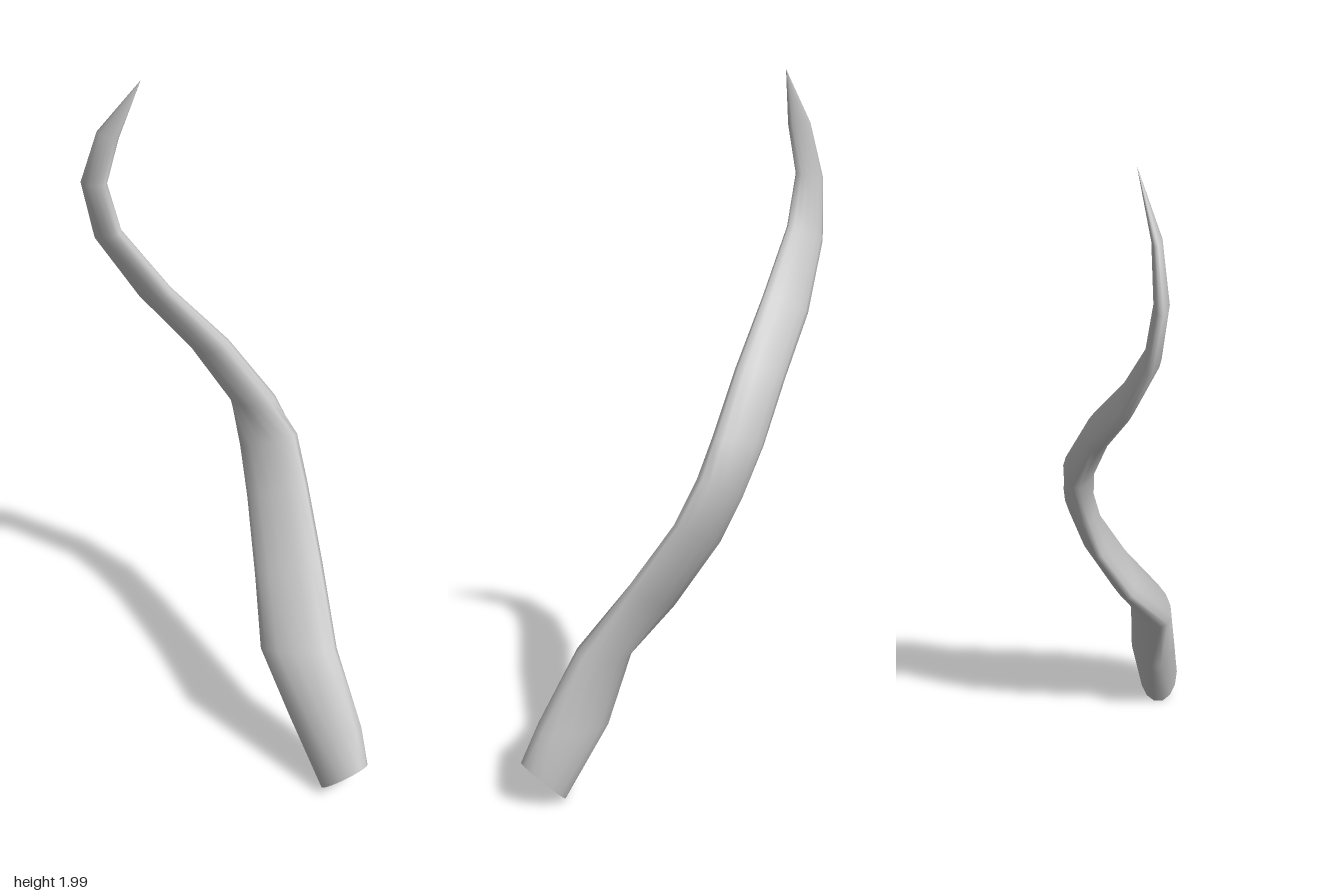
import * as THREE from 'three';

const SIDES = 14;

// Cross-sections from base to tip: centre, half-depth vector, half-width
const RINGS = [
  { c: [-0.108, 0.07, 0.415], u: [0, 0.064, 0.065], w: 0.056 },
  { c: [-0.09, 0.23, 0.328], u: [0.01, 0.008, 0.115], w: 0.063 },
  { c: [-0.082, 0.43, 0.232], u: [0.04, 0.02, 0.1], w: 0.05 },
  { c: [0.008, 0.605, 0.13], u: [0.032, 0.045, 0.09], w: 0.038 },
  { c: [0.085, 0.79, 0.033], u: [0.025, 0.045, 0.083], w: 0.035 },
  { c: [0.115, 0.92, -0.02], u: [0.02, 0.04, 0.08], w: 0.04 },
  { c: [0.115, 1.04, -0.075], u: [-0.005, 0.02, 0.075], w: 0.042 },
  { c: [0.06, 1.205, -0.18], u: [-0.01, 0.025, 0.07], w: 0.035 },
  { c: [-0.015, 1.36, -0.305], u: [-0.012, 0.03, 0.065], w: 0.026 },
  { c: [-0.08, 1.535, -0.408], u: [-0.008, 0.025, 0.052], w: 0.022 },
  { c: [-0.1, 1.69, -0.433], u: [0, 0.01, 0.043], w: 0.02 },
  { c: [-0.088, 1.84, -0.39], u: [0, 0, 0.035], w: 0.014 },
  { c: [-0.04, 2, -0.315], u: [0, 0, 0.0005], w: 0.0005 },
];

// Skin of elliptical rings, each set across the direction of the path
function sweptSkin(rings) {
  const positions = [];
  const index = [];
  const centres = rings.map((r) => new THREE.Vector3(...r.c));
  rings.forEach((ring, i) => {
    const before = centres[Math.max(i - 1, 0)];
    const after = centres[Math.min(i + 1, rings.length - 1)];
    const along = after.clone().sub(before).normalize();
    const depth = new THREE.Vector3(...ring.u);
    const width = depth.clone().cross(along).setLength(ring.w);
    for (let j = 0; j < SIDES; j++) {
      const t = (j / SIDES) * Math.PI * 2;
      const p = centres[i].clone()
        .addScaledVector(depth, Math.sin(t))
        .addScaledVector(width, Math.cos(t));
      positions.push(p.x, p.y, p.z);
      if (i === rings.length - 1) continue;
      const a = i * SIDES + j;
      const b = i * SIDES + ((j + 1) % SIDES);
      index.push(a, b, a + SIDES, b, b + SIDES, a + SIDES);
    }
  });
  const geometry = new THREE.BufferGeometry();
  geometry.setAttribute('position', new THREE.Float32BufferAttribute(positions, 3));
  geometry.setIndex(index);
  geometry.computeVertexNormals();
  return geometry;
}

export function createModel() {
  const group = new THREE.Group();
  group.name = 'twistedHorn';
  // Tapering twisted shaft, open at the base
  const material = new THREE.MeshStandardMaterial({ color: 0xcccccc, side: THREE.DoubleSide });
  const shaft = new THREE.Mesh(sweptSkin(RINGS), material);
  shaft.name = 'hornShaft';
  group.add(shaft);
  return group;
}
